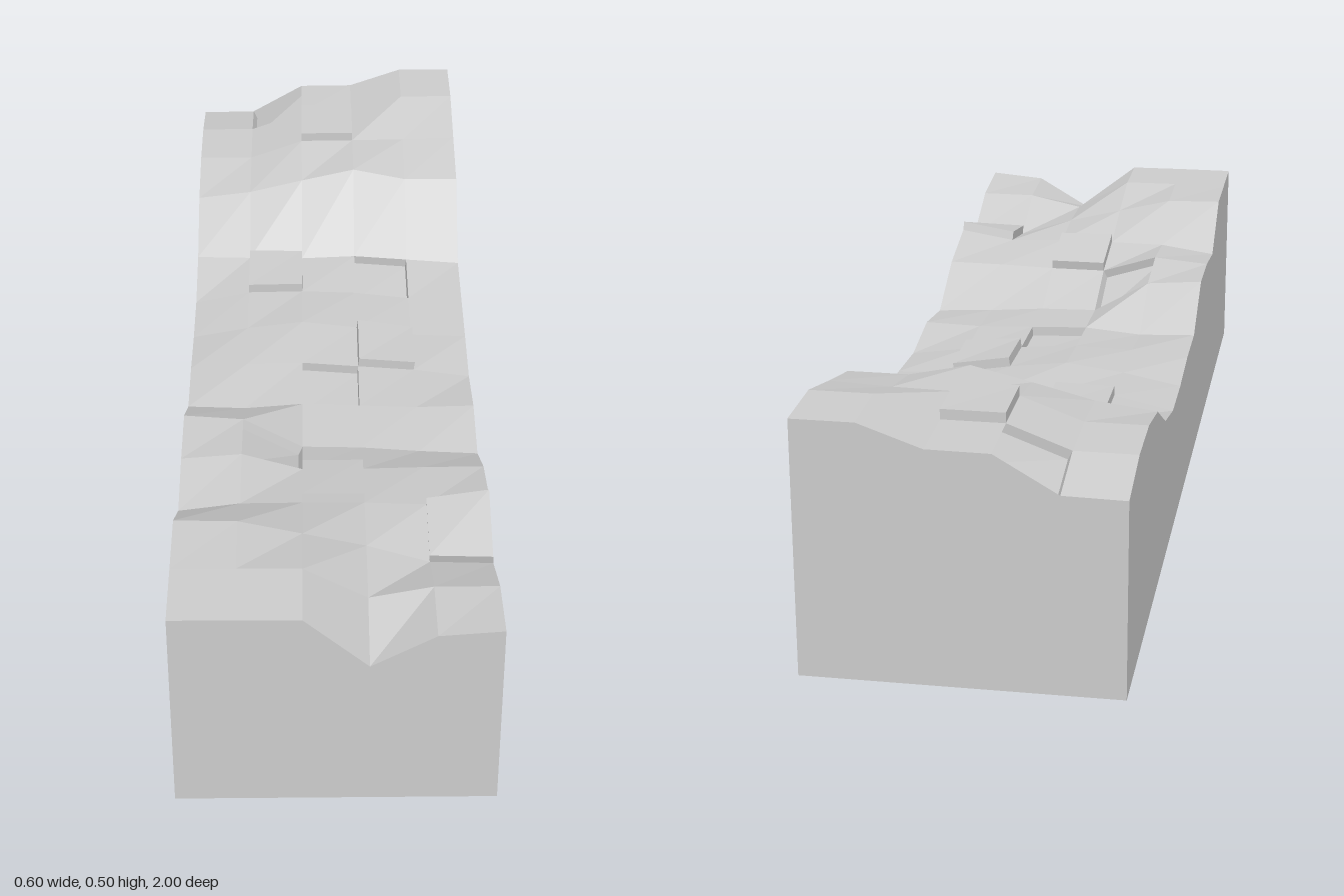
import * as THREE from 'three';

const COLS = 5, ROWS = 14;

// ground heights: one row per step from back to front, left to right in x
const HEIGHTS = [
  [.385, .387, .457, .458, .50, .50],
  [.413, .413, .458, .458, .50, .50],
  [.413, .413, .457, .458, .46, .465],
  [.385, .40, .43, .458, .432, .432],
  [.31, .307, .305, .31, .30, .29],
  [.277, .303, .305, .30, .285, .283],
  [.277, .30, .315, .30, .28, .275],
  [.29, .30, .303, .293, .283, .265],
  [.29, .285, .295, .29, .285, .288],
  [.368, .358, .288, .285, .275, .268],
  [.365, .375, .337, .337, .34, .341],
  [.345, .362, .363, .362, .357, .376],
  [.433, .43, .40, .37, .33, .326],
  [.433, .433, .432, .363, .388, .388],
  [.433, .433, .432, .323, .393, .403],
];

// cells that are raised slabs (+) or sunken pits (-): column, row, offset
const PATCHES = [
  [1, 0, -.02], [2, 1, .02], [1, 4, .02], [3, 4, -.02], [3, 6, .02],
  [2, 7, -.02], [1, 9, -.02], [2, 10, .02], [4, 11, .02],
];

const point = (i, j) =>
  new THREE.Vector3(-0.3 + 0.6 * i / COLS, HEIGHTS[j][i], -1 + 2 * j / ROWS);
const corners = (i, j) =>
  [point(i, j), point(i, j + 1), point(i + 1, j + 1), point(i + 1, j)];
const floor = (p) => new THREE.Vector3(p.x, 0, p.z);

// mesh from a list of four-cornered faces, counter-clockwise from outside
function quadMesh(name, quads, material) {
  const pts = quads.flatMap(([a, b, c, d]) => [a, b, d, b, c, d]);
  const geometry = new THREE.BufferGeometry().setFromPoints(pts);
  geometry.computeVertexNormals();
  const mesh = new THREE.Mesh(geometry, material);
  mesh.name = name;
  return mesh;
}

// a cell pushed along its normal, with walls back to the ground
function patchQuads(i, j, offset) {
  const base = corners(i, j);
  const normal = base[2].clone().sub(base[0])
    .cross(base[3].clone().sub(base[1])).normalize();
  const top = base.map((p) => p.clone().addScaledVector(normal, offset));
  const walls = base.map((p, k) => {
    const n = (k + 1) % 4;
    return [p, base[n], top[n], top[k]];
  });
  return [top, ...walls];
}

export function createModel() {
  const group = new THREE.Group();
  group.name = 'terrainBlock';
  const material = new THREE.MeshStandardMaterial({ color: 0xcccccc, flatShading: true });

  // ground surface, leaving out the cells replaced by patches
  const ground = [];
  for (let j = 0; j < ROWS; j++) {
    for (let i = 0; i < COLS; i++) {
      if (!PATCHES.some(([pi, pj]) => pi === i && pj === j)) ground.push(corners(i, j));
    }
  }
  group.add(quadMesh('ground', ground, material));

  // raised slabs and sunken pits
  for (const [i, j, offset] of PATCHES) {
    group.add(quadMesh(offset > 0 ? 'raisedSlab' : 'sunkenPit', patchQuads(i, j, offset), material));
  }

  // side walls following the edge of the ground
  const ring = [];
  for (let j = 0; j < ROWS; j++) ring.push(point(0, j));
  for (let i = 0; i < COLS; i++) ring.push(point(i, ROWS));
  for (let j = ROWS; j > 0; j--) ring.push(point(COLS, j));
  for (let i = COLS; i > 0; i--) ring.push(point(i, 0));
  const sides = ring.map((p, k) => {
    const q = ring[(k + 1) % ring.length];
    return [floor(p), floor(q), q, p];
  });
  group.add(quadMesh('sideWalls', sides, material));

  // flat underside
  const under = [point(0, 0), point(COLS, 0), point(COLS, ROWS), point(0, ROWS)].map(floor);
  group.add(quadMesh('underside', [under], material));

  return group;
}
